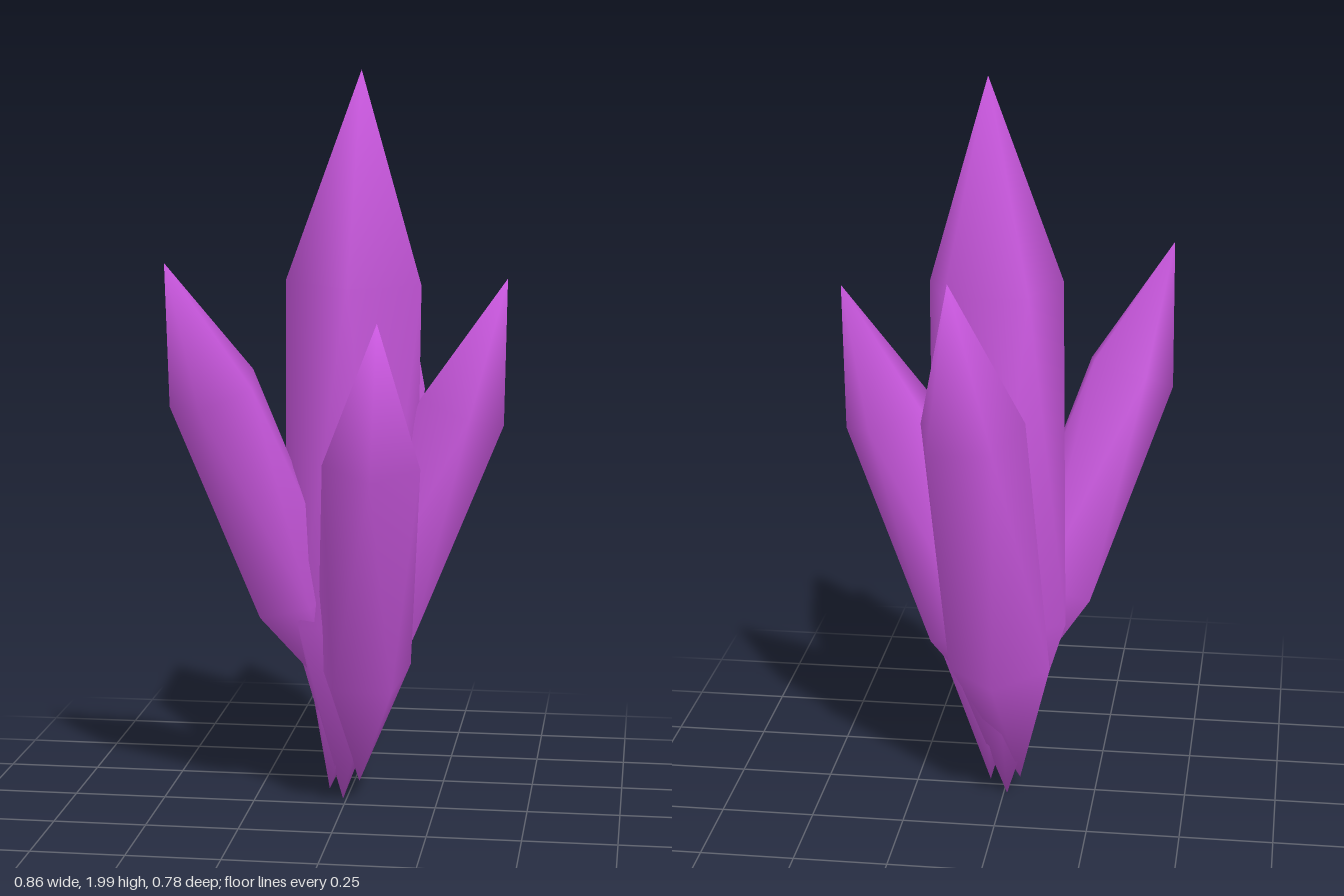
import * as THREE from 'three';

const SIDES = 5;
const LOWER = 2.78, UPPER = 7.66, LENGTH = 10.58; // heights for a crystal of radius 1
const UP = new THREE.Vector3(0, 1, 0);

// Tip position, growth direction, radius and twist (degrees) of each crystal
const CRYSTALS = [
  { name: 'centreCrystal', tip: [0.05, 2.0, 0.03], dir: [0.03, 1, 0.04], radius: 0.188, twist: 0 },
  { name: 'backCrystal', tip: [0.1, 1.55, -0.362], dir: [0.095, 1, -0.228], radius: 0.146, twist: -5 },
  { name: 'leftCrystal', tip: [0.43, 1.455, -0.045], dir: [0.362, 1, 0], radius: 0.127, twist: 90 },
  { name: 'frontCrystal', tip: [0.134, 1.378, 0.39], dir: [0.076, 1, 0.345], radius: 0.132, twist: 5 },
  { name: 'rightCrystal', tip: [-0.422, 1.515, 0.297], dir: [-0.328, 1, 0.285], radius: 0.127, twist: 132 },
];

// Two five-sided rings, the lower one turned half a side, closed by a point at each end
function crystalGeometry() {
  const positions = [0, 0, 0];
  for (const [y, offset] of [[LOWER, 0.5], [UPPER, 0]]) {
    for (let i = 0; i < SIDES; i++) {
      const a = ((i + offset) / SIDES) * Math.PI * 2;
      positions.push(Math.sin(a), y, Math.cos(a));
    }
  }
  positions.push(0, LENGTH, 0);

  const top = 1 + 2 * SIDES;
  const index = [];
  for (let i = 0; i < SIDES; i++) {
    const j = (i + 1) % SIDES;
    const low = 1 + i, lowNext = 1 + j;
    const high = 1 + SIDES + i, highNext = 1 + SIDES + j;
    index.push(0, lowNext, low); // root point
    index.push(low, highNext, high, low, lowNext, highNext); // shaft
    index.push(high, highNext, top); // tip
  }
  const geometry = new THREE.BufferGeometry();
  geometry.setAttribute('position', new THREE.Float32BufferAttribute(positions, 3));
  geometry.setIndex(index);
  geometry.computeVertexNormals();
  return geometry;
}

export function createModel() {
  const model = new THREE.Group();
  model.name = 'crystalCluster';
  const violet = new THREE.MeshStandardMaterial({ color: 0xc957de });
  violet.name = 'violet crystal';
  const geometry = crystalGeometry();

  for (const { name, tip, dir, radius, twist } of CRYSTALS) {
    const axis = new THREE.Vector3(...dir).normalize();
    const crystal = new THREE.Mesh(geometry, violet);
    crystal.name = name;
    crystal.scale.setScalar(radius);
    // Twist about its own axis, then lean along the growth direction
    crystal.quaternion.setFromUnitVectors(UP, axis)
      .multiply(new THREE.Quaternion().setFromAxisAngle(UP, THREE.MathUtils.degToRad(twist)));
    crystal.position.set(...tip).addScaledVector(axis, -LENGTH * radius);
    model.add(crystal);
  }
  return model;
}
